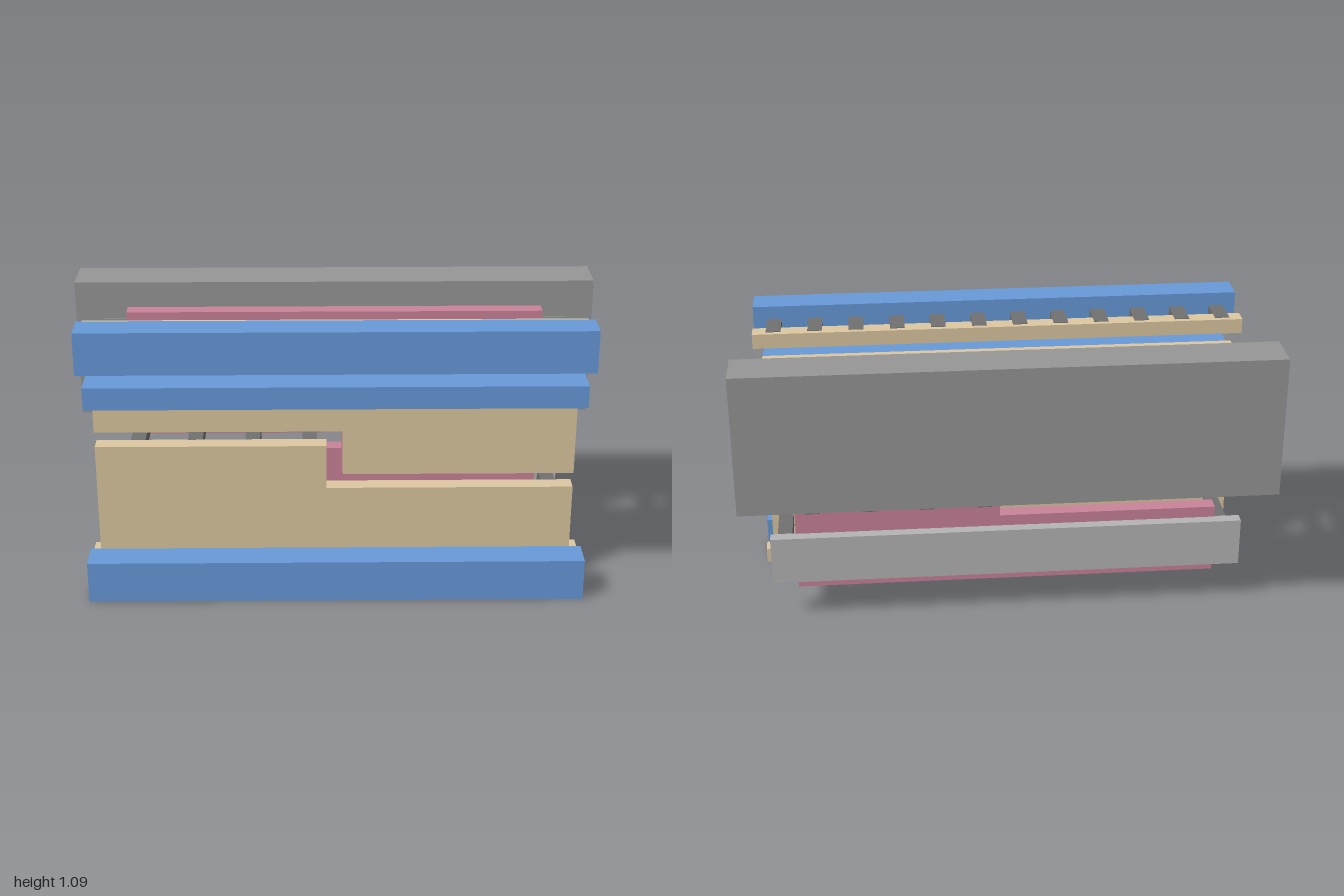
import * as THREE from 'three';

const mat = (color) => new THREE.MeshStandardMaterial({ color });
const BLUE = mat(0x6699d8), TAN = mat(0xdcc7a0), PINK = mat(0xc98298);
const DARK = mat(0x707070), GREY = mat(0x969696), LIGHT = mat(0xb4b4b4);

export function createModel() {
  const model = new THREE.Group();

  // Box given by its limits on each axis
  const box = (name, m, x0, x1, y0, y1, z0, z1) => {
    const mesh = new THREE.Mesh(new THREE.BoxGeometry(x1 - x0, y1 - y0, z1 - z0), m);
    mesh.position.set((x0 + x1) / 2, (y0 + y1) / 2, (z0 + z1) / 2);
    mesh.name = name;
    model.add(mesh);
  };

  // Flat panel with a stepped outline, extruded along z
  const panel = (name, m, points, z0, z1) => {
    const shape = new THREE.Shape(points.map(([x, y]) => new THREE.Vector2(x, y)));
    const geometry = new THREE.ExtrudeGeometry(shape, { depth: z1 - z0, bevelEnabled: false });
    const mesh = new THREE.Mesh(geometry, m);
    mesh.position.z = z0;
    mesh.name = name;
    model.add(mesh);
  };

  // Square peg running along z
  const peg = (name, x, y0, y1, z0, z1) => box(name, DARK, x - 0.028, x + 0.028, y0, y1, z0, z1);

  // Front rails
  box('lowerRail', BLUE, -0.935, 0.935, 0, 0.163, 0.26, 0.38);
  box('middleRail', BLUE, -0.913, 0.91, 0.79, 0.876, 0.26, 0.38);
  box('upperRail', BLUE, -0.935, 0.935, 0.925, 1.087, 0.26, 0.38);

  // Front plates: two interlocking stepped halves and two edge strips
  panel('upperFrontPanel', TAN,
    [[-0.908, 0.61], [0.027, 0.61], [0.027, 0.432], [0.905, 0.432], [0.905, 0.92], [-0.908, 0.92]], 0.11, 0.175);
  panel('lowerFrontPanel', TAN,
    [[-0.908, 0.112], [0.905, 0.112], [0.905, 0.374], [-0.035, 0.374], [-0.035, 0.55], [-0.908, 0.55]], 0.11, 0.175);
  box('topStrip', TAN, -0.935, 0.935, 0.977, 1.034, 0.11, 0.175);
  box('bottomStrip', TAN, -0.935, 0.935, 0.055, 0.112, 0.11, 0.175);

  // Rear plates, stepped the opposite way
  panel('upperRearPanel', PINK,
    [[-0.8, 0.46], [-0.04, 0.46], [-0.04, 0.587], [0.8, 0.587], [0.8, 0.97], [-0.8, 0.97]], -0.207, -0.147);
  panel('lowerRearPanel', PINK,
    [[-0.8, 0.12], [0.8, 0.12], [0.8, 0.515], [0.027, 0.515], [0.027, 0.393], [-0.8, 0.393]], -0.207, -0.147);

  // Back block, its thin facing and the lower back plate
  box('backBlock', GREY, -1, 1, 0.526, 1.07, -0.38, -0.208);
  box('blockFacing', GREY, -0.895, 0.895, 0.63, 0.925, -0.21, -0.202);
  box('lowerBackPlate', LIGHT, -0.895, 0.895, 0.163, 0.35, -0.248, -0.203);

  // Short pegs carrying the rails
  for (let i = 0; i < 12; i++) {
    const x = -0.86 + i * 0.156;
    peg('lowerRailPeg', x, 0.053, 0.112, 0.13, 0.262);
    peg('middleRailPeg', x, 0.804, 0.862, 0.13, 0.262);
    peg('upperRailPeg', x, 0.977, 1.036, 0.13, 0.262);
  }

  // Pegs tying the front halves to the rear halves across the joint
  for (const x of [-0.75, -0.533, -0.315, -0.098]) peg('leftJointPeg', x, 0.493, 0.55, -0.209, 0.112);
  for (const x of [0.085, 0.302, 0.518, 0.735]) peg('rightJointPeg', x, 0.432, 0.49, -0.209, 0.112);

  // Long end pegs to the back block and the lower back plate
  for (const x of [-0.85, 0.848]) {
    for (const y of [0.217, 0.677, 0.848]) peg('endPeg', x, y, y + 0.057, -0.206, 0.112);
  }

  return model;
}
